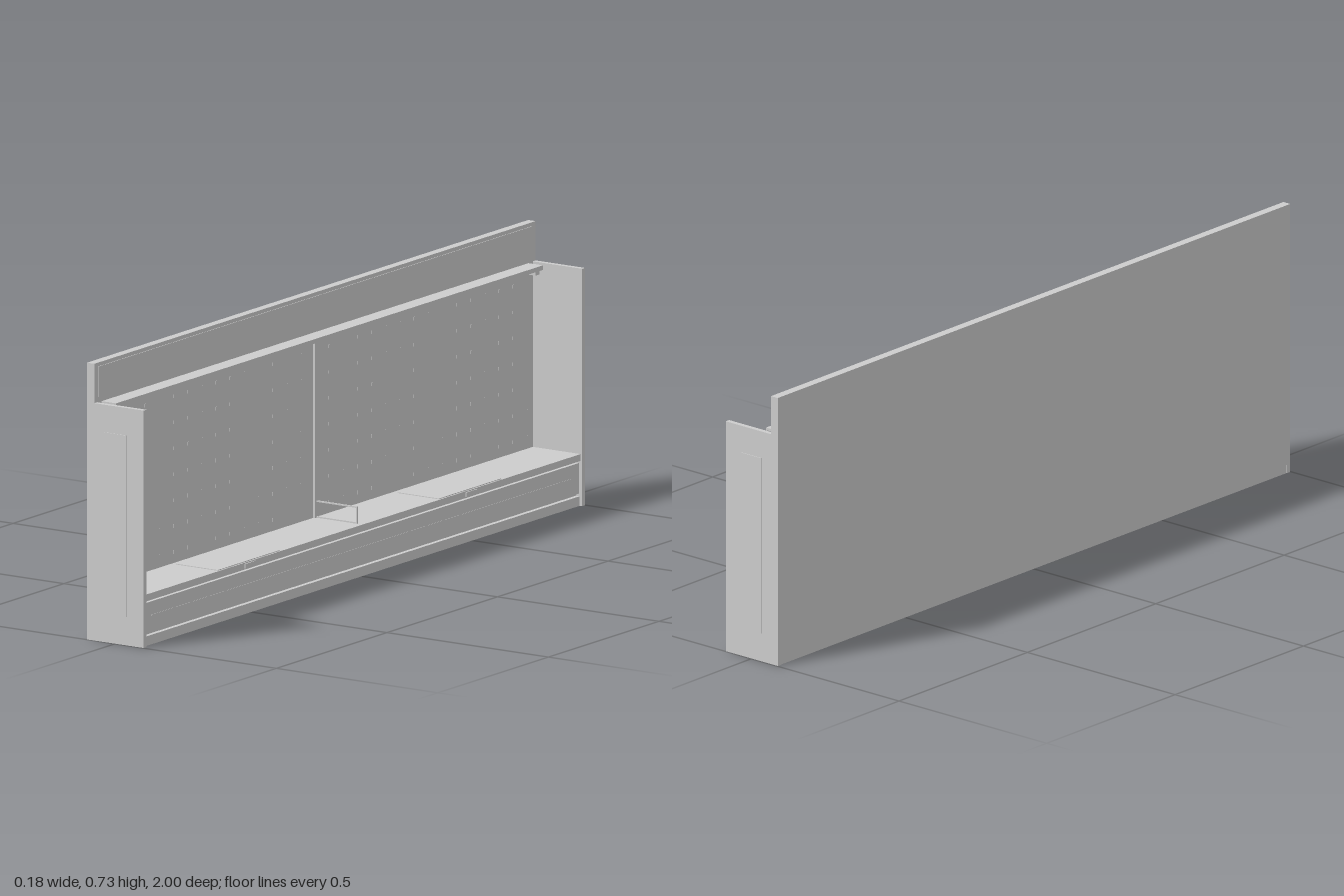
import * as THREE from 'three';

export function createModel() {
  const model = new THREE.Group();
  model.name = 'wallShelfUnit';
  const lightGrey = new THREE.MeshStandardMaterial({ color: 0xcccccc });
  lightGrey.name = 'lightGrey';

  // Box given by its minimum and maximum on each axis
  function box(name, x0, x1, y0, y1, z0, z1) {
    const mesh = new THREE.Mesh(new THREE.BoxGeometry(x1 - x0, y1 - y0, z1 - z0), lightGrey);
    mesh.position.set((x0 + x1) / 2, (y0 + y1) / 2, (z0 + z1) / 2);
    mesh.name = name;
    model.add(mesh);
    return mesh;
  }

  // Back board, with a thin trim panel above the top shelf
  box('backPanel', -0.088, -0.065, 0.022, 0.725, -0.998, 0.998);
  box('upperTrimPanel', -0.065, -0.063, 0.635, 0.715, -0.98, 0.98);

  // End walls, each with a thin outer plate and a top shelf bracket
  for (const s of [-1, 1]) {
    const span = (a, b) => (s > 0 ? [a, b] : [-b, -a]);
    box('endPanel', -0.088, 0.088, 0, 0.622, ...span(0.985, 0.998));
    box('endPlate', -0.033, 0.035, 0.075, 0.55, ...span(0.998, 1));
    box('shelfBracket', -0.065, -0.045, 0.59, 0.614, ...span(0.968, 0.985));
  }

  // Lower cabinet: base, fascia, lip and deck
  box('base', -0.087, 0.08, 0, 0.025, -0.985, 0.985);
  box('plinthCore', -0.065, 0.068, 0.025, 0.125, -0.985, 0.985);
  box('fascia', 0.068, 0.078, 0.032, 0.112, -0.985, 0.985);
  box('fasciaTrim', 0.078, 0.079, 0.074, 0.077, -0.95, 0.95);
  box('deck', -0.065, 0.08, 0.125, 0.136, -0.985, 0.985);
  box('deckLip', 0.068, 0.083, 0.118, 0.136, -0.985, 0.985);

  // Deck lids with small front latches
  for (const z of [-0.49, 0.51]) {
    box('deckLid', -0.05, 0.079, 0.136, 0.138, z - 0.14, z + 0.14);
    box('lidLatch', 0.083, 0.086, 0.121, 0.133, z - 0.025, z + 0.025);
  }

  // Narrow top shelf with a turned-down front edge
  box('topShelf', -0.065, -0.02, 0.614, 0.621, -0.965, 0.965);
  box('topShelfEdge', -0.023, -0.02, 0.609, 0.614, -0.965, 0.965);

  // Centre post
  box('centrePost', -0.065, -0.059, 0.136, 0.614, -0.009, 0.009);

  // Wire divider standing on the deck
  const r = 0.0018;
  box('dividerTopWire', -0.06, 0.067, 0.181 - 2 * r, 0.181, -r, r);
  box('dividerFrontWire', 0.067 - 2 * r, 0.067, 0.138, 0.181, -r, r);
  box('dividerBottomWire', -0.06, 0.067, 0.136, 0.136 + 2 * r, -r, r);

  // Rows of small slots on the back board
  const rows = 7, columns = 15, pitch = 0.064;
  const slots = new THREE.InstancedMesh(new THREE.BoxGeometry(0.001, 0.009, 0.004), lightGrey, 1);
  for (const s of [-1, 1]) {
    for (let i = 1; i <= columns; i++) {
      for (let j = 0; j < rows; j++) {
        const slot = new THREE.Mesh(slots.geometry, lightGrey);
        slot.position.set(-0.0647, 0.165 + j * 0.068, s * i * pitch);
        slot.name = 'backSlot';
        model.add(slot);
      }
    }
  }
  return model;
}
